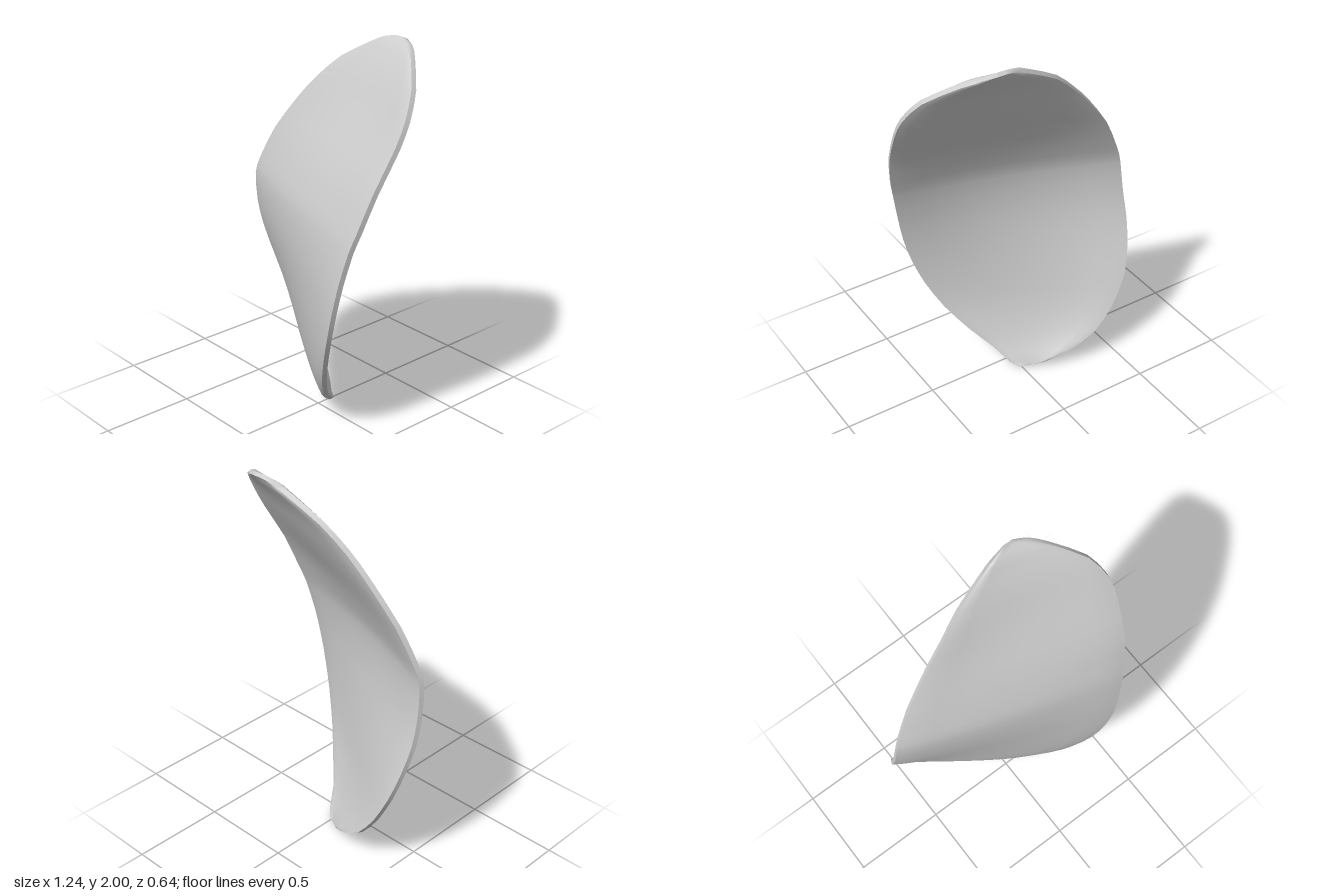
import * as THREE from 'three';
import { toCreasedNormals } from 'three/addons/utils/BufferGeometryUtils.js';

// Rim stations from top to bottom: y, x and z of one rim, x and z of the other, bulge between them
const STATIONS = [
  [1.995, 0.22, -0.31, 0.28, -0.31, 0],
  [1.98, 0.16, -0.3, 0.34, -0.285, 0],
  [1.94, 0.08, -0.285, 0.42, -0.22, -0.005],
  [1.84, -0.09, -0.245, 0.55, -0.10, -0.015],
  [1.72, -0.22, -0.205, 0.605, -0.01, -0.02],
  [1.6, -0.33, -0.18, 0.612, 0.06, -0.01],
  [1.4, -0.48, -0.14, 0.588, 0.17, 0.01],
  [1.22, -0.57, -0.11, 0.555, 0.235, 0.025],
  [1.12, -0.602, -0.1, 0.53, 0.265, 0.025],
  [0.95, -0.613, -0.12, 0.495, 0.295, 0.02],
  [0.8, -0.615, -0.16, 0.465, 0.308, 0.015],
  [0.65, -0.593, -0.21, 0.425, 0.302, 0.018],
  [0.5, -0.55, -0.25, 0.37, 0.275, 0.022],
  [0.34, -0.47, -0.265, 0.29, 0.215, 0.027],
  [0.2, -0.36, -0.26, 0.19, 0.12, 0.027],
  [0.1, -0.22, -0.22, 0.10, 0.03, 0.02],
  [0.03, -0.10, -0.16, 0.05, -0.05, 0.01],
  [0.004, -0.03, -0.11, 0.01, -0.095, 0],
];

// Positions across the width, with half thickness at each (blunt rim)
const ACROSS = [0, 0.02, 0.06, 0.14, 0.26, 0.38, 0.5, 0.62, 0.74, 0.86, 0.94, 0.98, 1];
const halfThickness = (u) => 0.013 + 0.007 * Math.min(1, Math.min(u, 1 - u) / 0.06);

function stationCurve(xi, zi) {
  return new THREE.CatmullRomCurve3(
    STATIONS.map((s) => new THREE.Vector3(s[xi], s[0], s[zi])), false, 'catmullrom', 0.4);
}

// Closed thin shell, lofted between the two rims
function shellGeometry() {
  const rimA = stationCurve(1, 2);
  const rimB = stationCurve(3, 4);
  const bulges = stationCurve(5, 5);
  const rows = (STATIONS.length - 1) * 2;
  const last = ACROSS.length - 1;
  const loop = ACROSS.length * 2;
  const positions = [];
  const index = [];

  for (let j = 0; j <= rows; j++) {
    const a = rimA.getPoint(j / rows);
    const b = rimB.getPoint(j / rows);
    const bulge = bulges.getPoint(j / rows).x;
    const out = new THREE.Vector3(-0.38, (a.y - 0.75) * 0.45, 1).normalize();
    const taper = THREE.MathUtils.clamp(a.distanceTo(b) / 0.25, 0.6, 1);
    for (let k = 0; k < loop; k++) {
      // front face runs one way, back face returns
      const front = k <= last;
      const u = ACROSS[front ? k : loop - 1 - k];
      const offset = 4 * u * (1 - u) * bulge + (front ? 1 : -1) * taper * halfThickness(u);
      const p = a.clone().lerp(b, u).addScaledVector(out, offset);
      positions.push(p.x, p.y, p.z);
    }
  }
  for (let j = 0; j < rows; j++) {
    for (let k = 0; k < loop; k++) {
      const p = j * loop + k, q = j * loop + (k + 1) % loop;
      index.push(p, p + loop, q + loop, p, q + loop, q);
    }
  }
  // close the top and bottom ends
  for (let k = 0; k < last; k++) {
    const back = loop - 1 - k;
    index.push(k, k + 1, back - 1, k, back - 1, back);
    const e = rows * loop;
    index.push(e + k, e + back - 1, e + k + 1, e + k, e + back, e + back - 1);
  }
  const geometry = new THREE.BufferGeometry();
  geometry.setAttribute('position', new THREE.Float32BufferAttribute(positions, 3));
  geometry.setIndex(index);
  return toCreasedNormals(geometry, 0.8);
}

export function createModel() {
  const group = new THREE.Group();
  group.name = 'curvedChip';
  const grey = new THREE.MeshStandardMaterial({ color: 0xcccccc });
  grey.name = 'light grey';
  const shell = new THREE.Mesh(shellGeometry(), grey);
  shell.name = 'curvedShell';
  group.add(shell);
  return group;
}
